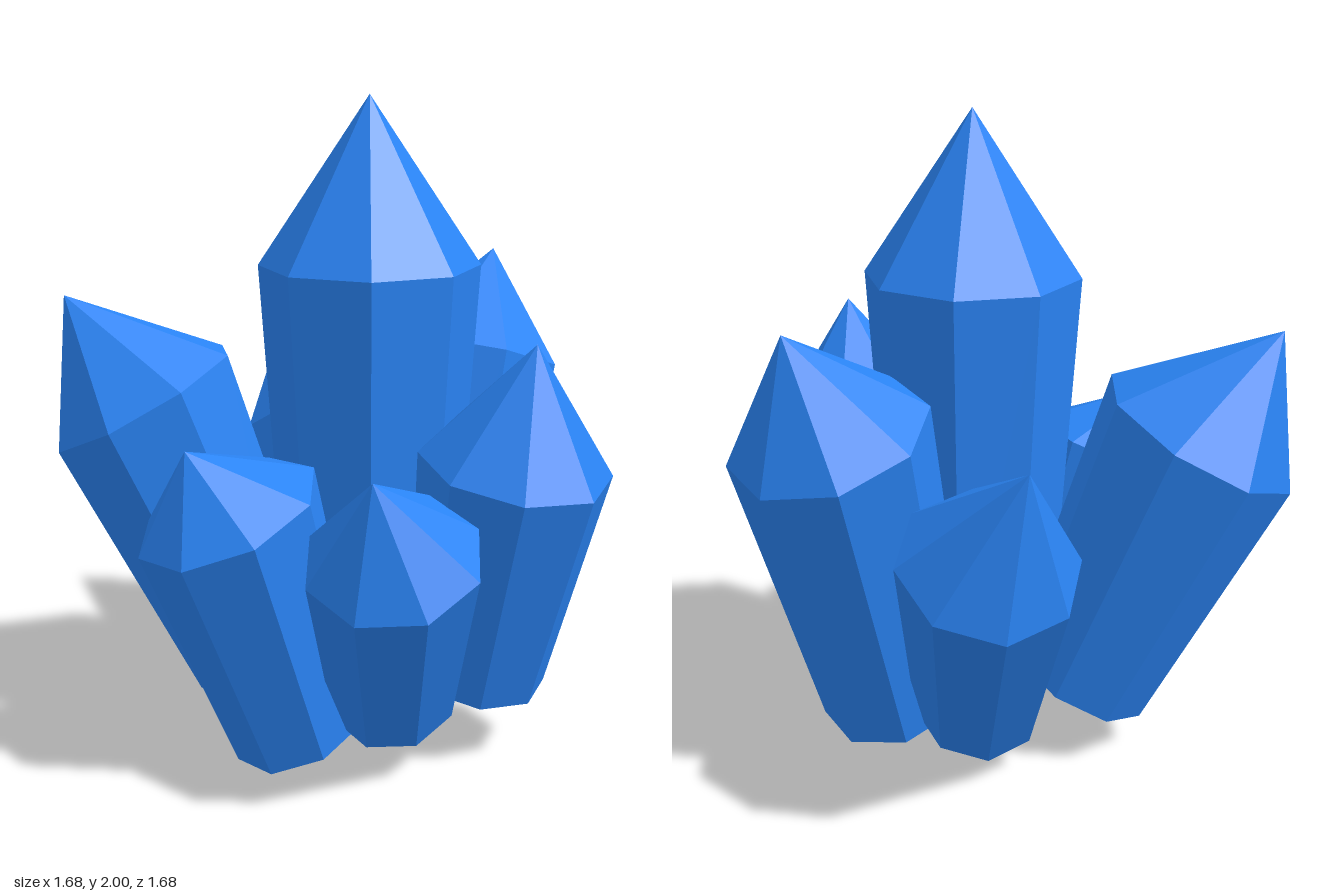
import * as THREE from 'three';

const V = (a) => new THREE.Vector3(...a);
const SIDES = 8;

// Each crystal: tip, shoulder centre and radius, base centre and radius, turn in degrees
const CRYSTALS = [
  { name: 'centreCrystal', tip: [-0.02, 2, 0.055], mid: [-0.02, 1.49, 0.055], rMid: 0.34, base: [-0.02, 0.2, 0.055], rBase: 0.255, turn: 0 },
  { name: 'frontCrystal', tip: [0.08, 1.31, 0.63], mid: [0.08, 0.94, 0.56], rMid: 0.293, base: [0.105, 0.225, 0.4], rBase: 0.215, turn: 0 },
  { name: 'leftCrystal', tip: [0.73, 1.45, -0.08], mid: [0.565, 1.11, -0.04], rMid: 0.31, base: [0.3, 0.165, 0.03], rBase: 0.24, turn: -18 },
  { name: 'rightCrystal', tip: [-0.7, 1.02, -0.02], mid: [-0.58, 0.82, 0.02], rMid: 0.288, base: [-0.34, 0.085, 0.07], rBase: 0.22, turn: 28 },
  { name: 'frontRightCrystal', tip: [-0.555, 1.02, 0.585], mid: [-0.415, 0.76, 0.53], rMid: 0.26, base: [-0.18, 0.2, 0.31], rBase: 0.195, turn: 23 },
  { name: 'backRightCrystal', tip: [-0.62, 1.38, -0.69], mid: [-0.45, 1.05, -0.53], rMid: 0.325, base: [-0.2, 0.21, -0.28], rBase: 0.24, turn: 17 },
  { name: 'backLeftCrystal', tip: [0.39, 1.175, -0.77], mid: [0.37, 0.84, -0.565], rMid: 0.27, base: [0.16, 0.18, -0.22], rBase: 0.2, turn: 21 },
];

// Skin a list of rings (or single points, with radius 0) with flat faces
function loft(rings, axis, turn) {
  const u = new THREE.Vector3(1, 0, 0).addScaledVector(axis, -axis.x).normalize();
  const w = u.clone().cross(axis);
  const at = (ring, i) => {
    const a = THREE.MathUtils.degToRad(turn) + ((i % SIDES) / SIDES) * Math.PI * 2;
    return ring.c.clone()
      .addScaledVector(u, ring.r * Math.cos(a))
      .addScaledVector(w, ring.r * Math.sin(a));
  };
  const pts = [];
  for (let k = 0; k + 1 < rings.length; k++) {
    const [lo, hi] = [rings[k], rings[k + 1]];
    for (let i = 0; i < SIDES; i++) {
      const [p0, p1, q0, q1] = [at(lo, i), at(lo, i + 1), at(hi, i), at(hi, i + 1)];
      if (lo.r > 0) pts.push(p0, q0, p1);
      if (hi.r > 0) pts.push(p1, q0, q1);
    }
  }
  const geo = new THREE.BufferGeometry().setFromPoints(pts);
  geo.computeVertexNormals();
  return geo;
}

function makeCrystal(spec, shellMat, coreMat) {
  const tip = V(spec.tip), mid = V(spec.mid), base = V(spec.base);
  const axis = tip.clone().multiplyScalar(2).sub(mid).sub(base).normalize();
  const rim = spec.rBase * 0.68;
  const floor = base.clone().addScaledVector(axis, 0.09);
  const group = new THREE.Group();
  group.name = spec.name;

  // Base rim, tapered shaft and pointed tip
  const shell = new THREE.Mesh(loft([
    { c: base, r: rim },
    { c: base, r: spec.rBase },
    { c: mid, r: spec.rMid },
    { c: tip, r: 0 },
  ], axis, spec.turn), shellMat);
  shell.name = 'shaftAndTip';

  // Recess in the underside
  const core = new THREE.Mesh(loft([
    { c: floor, r: 0 },
    { c: floor, r: rim * 0.75 },
    { c: base, r: rim },
  ], axis, spec.turn), coreMat);
  core.name = 'baseRecess';

  group.add(shell, core);
  return group;
}

export function createModel() {
  const shellMat = new THREE.MeshStandardMaterial({ color: 0x2a84f5, flatShading: true });
  const coreMat = new THREE.MeshStandardMaterial({ color: 0x10d4ea, flatShading: true });
  const model = new THREE.Group();
  model.name = 'crystalCluster';
  for (const spec of CRYSTALS) model.add(makeCrystal(spec, shellMat, coreMat));
  return model;
}
